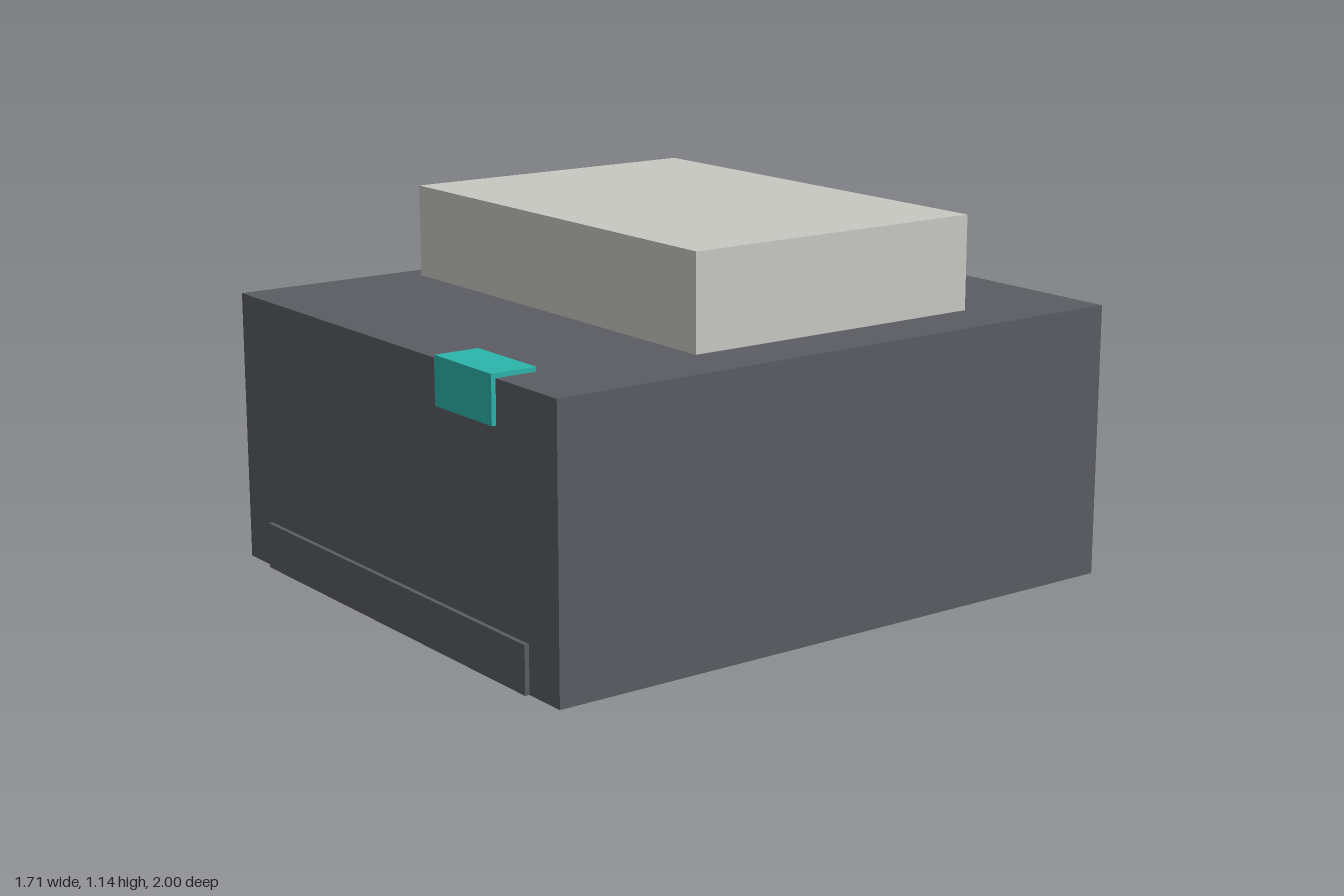
import * as THREE from 'three';

const paint = (name, color) => {
  const m = new THREE.MeshStandardMaterial({ color, side: THREE.DoubleSide });
  m.name = name;
  return m;
};

// Thin-walled box between two corners, without the listed open sides
const SIDES = ['left', 'right', 'top', 'bottom', 'front', 'back'];
function shell(name, min, max, material, open) {
  const size = max.map((v, i) => v - min[i]);
  const geometry = new THREE.BoxGeometry(...size);
  const all = Array.from(geometry.index.array);
  geometry.setIndex(all.filter((_, i) => !open.includes(SIDES[Math.floor(i / 6)])));
  geometry.clearGroups();
  const mesh = new THREE.Mesh(geometry, material);
  mesh.name = name;
  mesh.position.set(...max.map((v, i) => (v + min[i]) / 2));
  return mesh;
}

export function createModel() {
  const charcoal = paint('charcoal', 0x5a5c63);
  const paleGrey = paint('paleGrey', 0xc8c8c3);
  const teal = paint('teal', 0x2cb5ac);

  const model = new THREE.Group();
  model.name = 'boxUnit';
  model.add(
    // Hollow main housing, open underneath
    shell('body', [-0.857, 0, -1], [0.857, 0.843, 0.986], charcoal, ['bottom']),
    // Raised block resting just above the housing
    shell('topBlock', [-0.714, 0.857, -0.571], [0.714, 1.143, 0.429], paleGrey, ['bottom']),
    // Lip set through the lower front wall, open behind and underneath
    shell('frontLip', [-0.714, 0, 0.857], [0.714, 0.143, 1], charcoal, ['bottom', 'back']),
    // Coloured cap wrapped over the upper front edge
    shell('frontButton', [0.286, 0.714, 0.857], [0.571, 0.857, 1], teal, ['bottom', 'back'])
  );
  return model;
}
